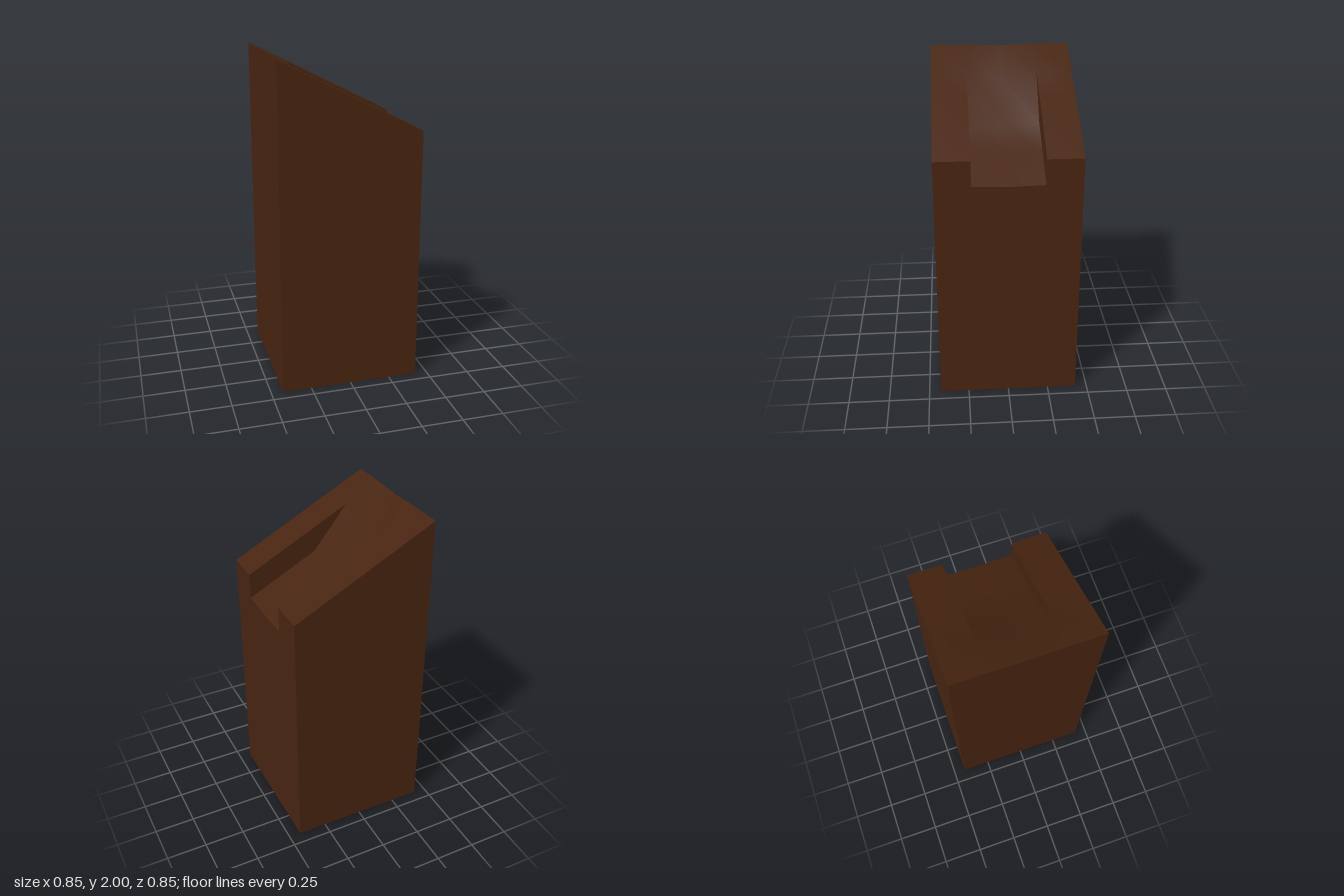
import * as THREE from 'three';
import { toCreasedNormals } from 'three/addons/utils/BufferGeometryUtils.js';

const HALF = 0.427;    // half width of the post
const GROOVE = 0.213;  // half width of the groove

// Sloping top surface of the post
const slope = (x) => 1.7825 - (x / HALF) * 0.2175;

// Groove floor: starts at the second column, ramps down, then runs parallel to the slope
const DEPTH_SIDE = [0, 0, 0.156, 0.156, 0.156];
const DEPTH_MID = [0.008, 0.04, 0.162, 0.162, 0.162];

// Rows across the post; the repeated rows form the upright groove walls
const ROWS = [-HALF, -GROOVE, -GROOVE, 0, GROOVE, GROOVE, HALF];

export function createModel() {
  const group = new THREE.Group();
  group.name = 'groovedPost';

  const wood = new THREE.MeshStandardMaterial({ color: 0x472410 });
  wood.name = 'dark brown wood';

  // Square post, its top sheared to a slope and sunk along the middle
  const box = new THREE.BoxGeometry(2 * HALF, 2, 2 * HALF, 4, 1, 6);
  const pos = box.attributes.position;
  for (let i = 0; i < pos.count; i++) {
    const x = pos.getX(i);
    const column = Math.round((x / (2 * HALF) + 0.5) * 4);
    const row = Math.round((pos.getZ(i) / (2 * HALF) + 0.5) * 6);
    let depth = 0;
    if (row === 3) depth = DEPTH_MID[column];
    else if (row === 2 || row === 4) depth = DEPTH_SIDE[column];
    const y = pos.getY(i) > 0 ? slope(x) - depth : 0;
    pos.setXYZ(i, x, y, ROWS[row]);
  }

  const post = new THREE.Mesh(toCreasedNormals(box, 0.65), wood);
  post.name = 'post';
  group.add(post);
  return group;
}
